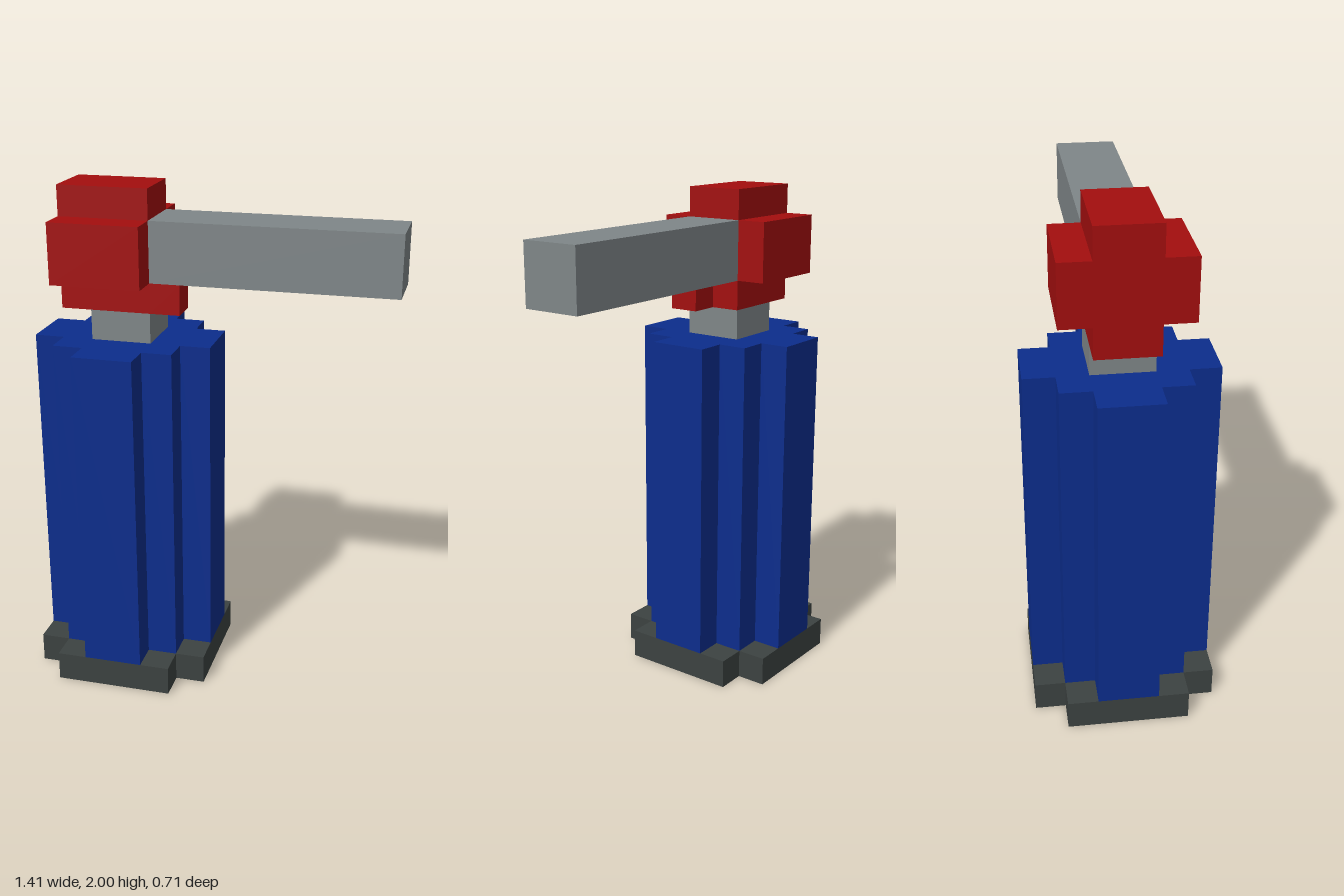
import * as THREE from 'three';

const U = 2 / 17; // one grid cell
const AXIS = -3; // x of the body axis, in cells

const material = (name, color) => new THREE.MeshStandardMaterial({ name, color });

export function createModel() {
  const model = new THREE.Group();
  model.name = 'blockTool';
  const blue = material('blue', 0x0c2d8c);
  const red = material('red', 0xa30e0e);
  const grey = material('grey', 0x7f8688);
  const dark = material('darkGrey', 0x3c4241);

  const add = (name, geometry, mat) => {
    const mesh = new THREE.Mesh(geometry, mat);
    mesh.name = name;
    model.add(mesh);
  };

  // Box given by its limits in cells
  const box = (name, mat, x0, x1, y0, y1, z0, z1) => {
    const g = new THREE.BoxGeometry((x1 - x0) * U, (y1 - y0) * U, (z1 - z0) * U);
    g.translate((x0 + x1) * U / 2, (y0 + y1) * U / 2, (z0 + z1) * U / 2);
    add(name, g, mat);
  };

  // Upright prism with a stepped outline: one quarter, mirrored to all four
  const steppedPrism = (name, mat, quarter, y0, y1) => {
    const back = [...quarter].reverse();
    const outline = [
      ...quarter,
      ...back.map(([x, z]) => [-x, z]),
      ...quarter.map(([x, z]) => [-x, -z]),
      ...back.map(([x, z]) => [x, -z]),
    ];
    const shape = new THREE.Shape(outline.map(([x, z]) => new THREE.Vector2((x + AXIS) * U, z * U)));
    const g = new THREE.ExtrudeGeometry(shape, { depth: (y1 - y0) * U, bevelEnabled: false });
    g.rotateX(-Math.PI / 2).translate(0, y0 * U, 0);
    add(name, g, mat);
  };

  // Base and tall body
  steppedPrism('base', dark, [[3, 2], [2, 2], [2, 3]], 0, 1);
  steppedPrism('body', blue, [[3, 1], [2, 1], [2, 2], [1, 2], [1, 3]], 1, 12);

  // Neck
  box('neck', grey, -4, -2, 12, 13, -1, 1);

  // Head in three layers, with a small off-centre tab under the bar
  box('headBottom', red, -5, -2, 13, 14, -1, 1);
  box('headMiddle', red, -5, -2, 14, 16, -2, 2);
  box('headTop', red, -5, -2, 16, 17, -1, 1);
  box('headTab', red, -2, -1, 13, 14, 0, 1);

  // Long side bar
  box('bar', grey, -2, 6, 14, 16, -1, 1);

  return model;
}
